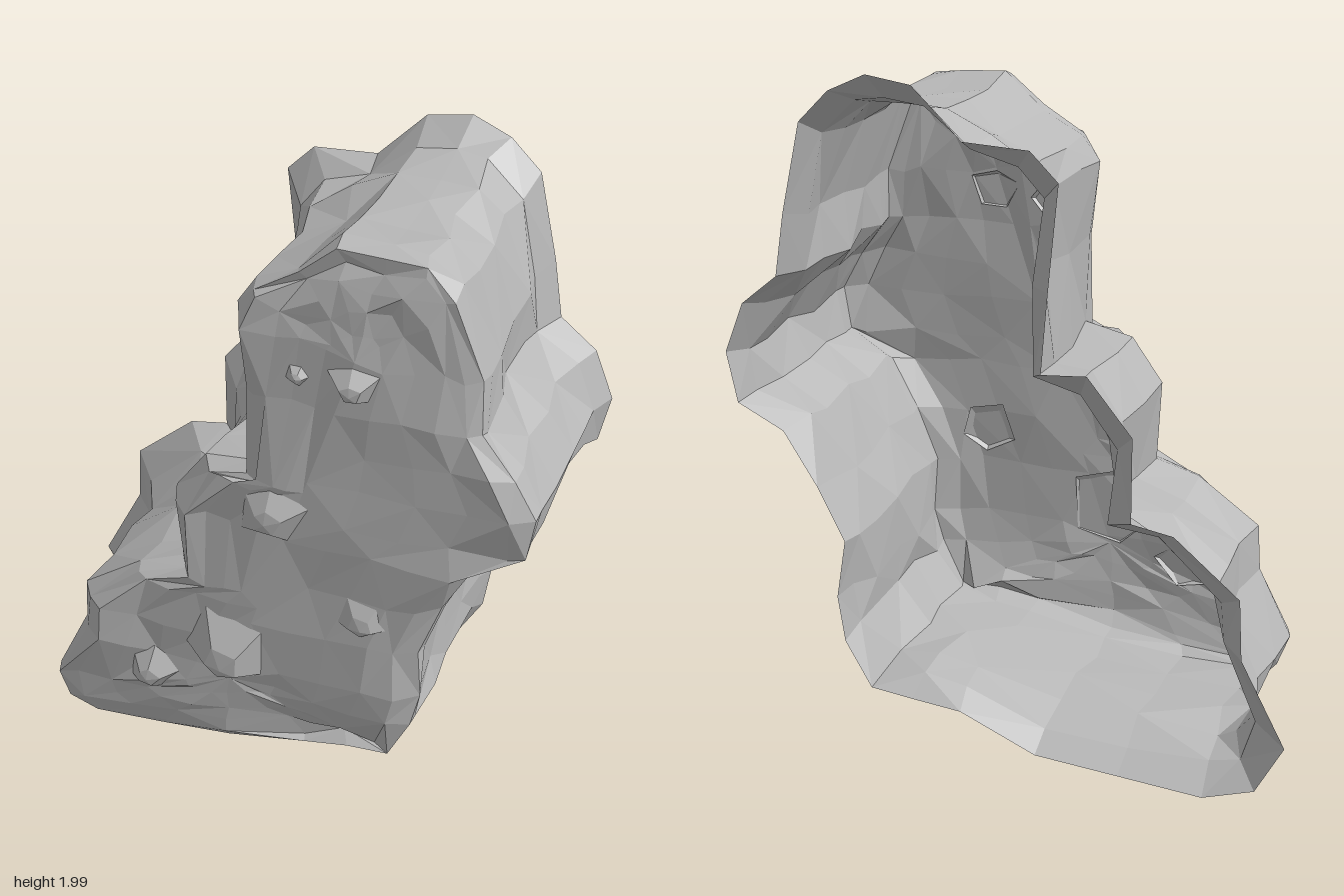
import * as THREE from 'three';

// Outline points, anticlockwise: back rim x, y, then wall x, y near the front
const OUTLINE = [
  [-0.60, 0.01, -0.58, 0.10], [-0.35, 0.03, -0.36, 0.11], [-0.10, 0.05, -0.12, 0.13], [0.13, 0.15, 0.13, 0.20],
  [0.28, 0.165, 0.26, 0.22], [0.41, 0.18, 0.38, 0.23], [0.49, 0.32, 0.46, 0.36], [0.51, 0.46, 0.47, 0.47],
  [0.48, 0.64, 0.46, 0.65], [0.56, 0.80, 0.53, 0.81], [0.66, 0.96, 0.62, 0.98], [0.80, 1.03, 0.75, 1.05],
  [0.83, 1.18, 0.78, 1.18], [0.77, 1.33, 0.71, 1.31], [0.66, 1.42, 0.61, 1.42], [0.63, 1.60, 0.60, 1.58],
  [0.57, 1.86, 0.53, 1.82], [0.48, 1.95, 0.44, 1.89], [0.37, 2.00, 0.34, 1.91], [0.24, 1.98, 0.21, 1.90],
  [0.10, 1.84, 0.10, 1.81], [-0.09, 1.83, -0.03, 1.74], [-0.17, 1.75, -0.07, 1.67], [-0.14, 1.45, -0.05, 1.44],
  [-0.12, 1.22, -0.05, 1.16], [-0.25, 1.23, -0.18, 1.13], [-0.38, 1.07, -0.28, 1.00], [-0.38, 0.82, -0.27, 0.77],
  [-0.50, 0.80, -0.41, 0.72], [-0.69, 0.64, -0.59, 0.58], [-0.70, 0.46, -0.60, 0.45], [-0.83, 0.21, -0.71, 0.23],
  [-0.75, 0.06, -0.67, 0.13],
];

// Repeatable noise in -1..1 from a pair of indices
const noise = (a, b) => {
  const s = Math.sin(a * 127.1 + b * 311.7) * 43758.5453;
  return 2 * (s - Math.floor(s)) - 1;
};

// Surface joining a list of closed rings
function loft(rings) {
  const n = rings[0].length;
  const index = [];
  for (let k = 0; k < rings.length - 1; k++) {
    for (let i = 0; i < n; i++) {
      const j = (i + 1) % n;
      const a = k * n + i, b = k * n + j, c = (k + 1) * n + j, d = (k + 1) * n + i;
      if ((i + k) % 2) index.push(a, b, c, a, c, d);
      else index.push(a, b, d, b, c, d);
    }
  }
  const geometry = new THREE.BufferGeometry();
  geometry.setAttribute('position', new THREE.Float32BufferAttribute(rings.flat(2), 3));
  geometry.setIndex(index);
  const flat = geometry.toNonIndexed();
  flat.computeVertexNormals();
  return flat;
}

// One ring of the side wall; mix goes from the back rim (0) inwards
const wallRing = (z, mix, rough, seed) => OUTLINE.map(([bx, by, fx, fy], i) => [
  bx + (fx - bx) * mix + rough * noise(i, seed),
  by + (fy - by) * mix + rough * noise(i + 50, seed),
  z + rough * noise(i + 90, seed),
]);

// Height of the front face: fullest at mid height, lumpy, sloping back at the lower left corner
const faceZ = (x, y) => 0.334 - 0.03 * (y - 0.85) ** 2
  + 0.012 * Math.sin(11 * x + 3 * y) * Math.cos(9 * y - 4 * x)
  - 0.05 * THREE.MathUtils.smoothstep(0.4 - y, 0, 0.2) * THREE.MathUtils.smoothstep(x, -0.2, 0.3);

// One ring of the front face, drawn in towards a straight middle line
const faceRing = (rim, t, seed) => rim.map(([rx, ry], i) => {
  const sy = THREE.MathUtils.clamp(ry, 0.42, 1.6);
  const sx = -0.1 + (sy - 0.42) * 0.315;
  const rough = 0.022 * (1 - t);
  const x = rx + (sx - rx) * t + rough * noise(i, seed);
  const y = ry + (sy - ry) * t + rough * noise(i + 50, seed);
  const round = 0.02 * Math.max(0, 1 - t / 0.25);
  return [x, y, t === 1 ? 0.333 : faceZ(x, y) - round + 0.8 * rough * noise(i + 90, seed)];
});

export function createModel() {
  const model = new THREE.Group();
  model.name = 'rockSlab';
  const stone = new THREE.MeshStandardMaterial({ color: 0xb8b8b8, side: THREE.DoubleSide, flatShading: true });
  stone.name = 'grey stone';

  const add = (name, geometry) => {
    const mesh = new THREE.Mesh(geometry, stone);
    mesh.name = name;
    model.add(mesh);
    return mesh;
  };

  // Hollow side wall: flared at the open back, waisted in the middle, rounded at the front
  const rim = wallRing(0.288, 1.15, 0.01, 6);
  add('sideWall', loft([
    wallRing(-0.38, 0, 0, 0).map(([x, y]) => [x, y, -0.38]),
    wallRing(-0.3, 0.75, 0.016, 2),
    wallRing(-0.19, 1.05, 0.018, 8),
    wallRing(-0.05, 1.15, 0.018, 3),
    wallRing(0.1, 1.15, 0.018, 4),
    wallRing(0.24, 0.95, 0.014, 5),
    rim,
  ]));

  // Rough front face
  add('frontFace', loft([rim, ...[0.1, 0.3, 0.52, 0.76, 1].map((t, k) => faceRing(rim, t, k + 10))]));

  // Small crooked knobs on the face: x, y, radius, height, turn
  const knobs = [
    [0.27, 1.54, 0.07, 0.045, 0.4], [0.11, 1.53, 0.04, 0.025, 1.1], [0.03, 1.08, 0.10, 0.04, 0.2],
    [-0.11, 0.53, 0.13, 0.055, 0.7], [-0.36, 0.39, 0.09, 0.04, 0.1], [0.31, 0.76, 0.09, 0.03, 0.9],
  ];
  for (const [x, y, radius, height, turn] of knobs) {
    const ring = (scale, z, drop) => Array.from({ length: 5 }, (_, i) => {
      const angle = turn + i * Math.PI * 0.4;
      const r = radius * scale * (1 + 0.3 * noise(i, x * 10));
      return [r * Math.cos(angle), r * Math.sin(angle) - drop, z];
    });
    const knob = add('knob', loft([
      ring(1, 0, 0),
      ring(0.4, height, radius * 0.25),
      ring(0, height + 0.006, radius * 0.35),
    ]));
    knob.position.set(x, y, faceZ(x, y) - 0.008);
  }

  return model;
}
